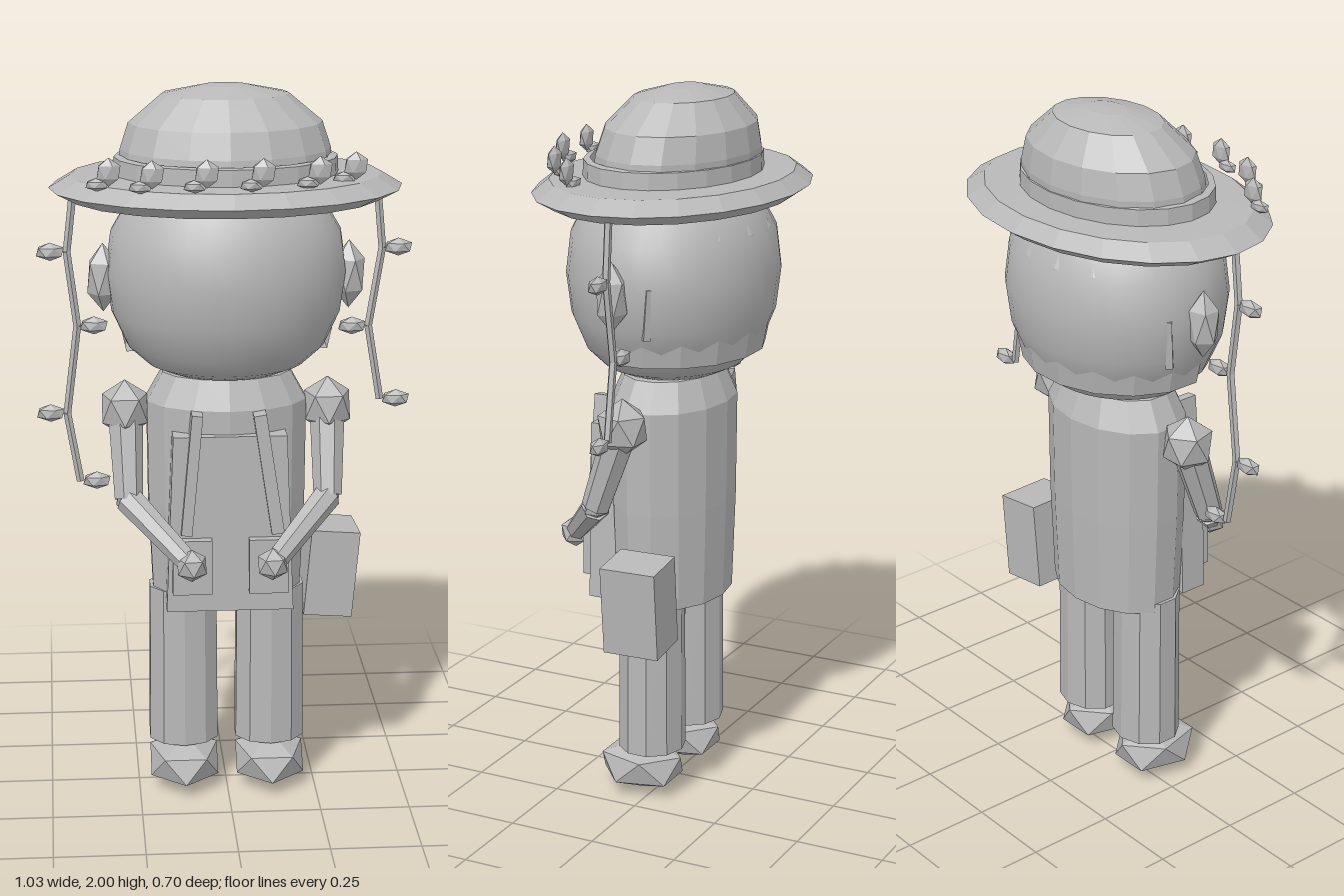
import * as THREE from 'three';

export function createModel() {
  const group = new THREE.Group();
  const clay = new THREE.MeshStandardMaterial({ color: 0xb8b8b8, flatShading: true, side: THREE.DoubleSide });
  clay.name = 'grey clay';
  // same colour, smooth normals for the face
  const smooth = clay.clone();
  smooth.flatShading = false;
  smooth.name = 'smooth grey clay';

  const add = (name, geo, mat = clay) => {
    const mesh = new THREE.Mesh(geo, mat);
    mesh.name = name;
    group.add(mesh);
    return mesh;
  };

  // elliptical lathe: profile of [radius, y], depth = z/x ratio
  const lathe = (name, profile, depth, segs, mat = clay, start = 0, length = Math.PI * 2) => {
    const pts = profile.map(([r, y]) => new THREE.Vector2(r, y));
    return add(name, new THREE.LatheGeometry(pts, segs, start, length).scale(1, 1, depth), mat);
  };

  // pole-up icosahedron used for hands, feet, leaves and puffs
  const gem = (name, pos, size, turn = 0) => {
    const geo = new THREE.IcosahedronGeometry(1, 0).rotateZ(-0.5536).rotateY(turn).scale(...size);
    const mesh = add(name, geo);
    mesh.position.set(...pos);
    return mesh;
  };

  // tapered limb between two points
  const limb = (name, a, b, ra, rb, sides) => {
    const p = new THREE.Vector3(...a), q = new THREE.Vector3(...b);
    const dir = q.clone().sub(p);
    const mesh = add(name, new THREE.CylinderGeometry(rb, ra, dir.length(), sides));
    mesh.position.copy(p).add(q).multiplyScalar(0.5);
    mesh.quaternion.setFromUnitVectors(new THREE.Vector3(0, 1, 0), dir.normalize());
    return mesh;
  };

  const box = (name, size, pos, rotZ = 0) => {
    const mesh = add(name, new THREE.BoxGeometry(...size));
    mesh.position.set(...pos);
    mesh.rotation.z = rotZ;
    return mesh;
  };

  // hat
  lathe('hatBrim', [[0, 1.7], [0.42, 1.7], [0.478, 1.73], [0.42, 1.765], [0.2, 1.77]], 0.733, 20);
  lathe('hatBand', [[0.305, 1.755], [0.302, 1.812], [0.28, 1.815]], 0.745, 20);
  const crown = lathe('hatCrown',
    [[0.29, 1.76], [0.285, 1.83], [0.262, 1.9], [0.172, 1.975], [0.065, 1.997], [0, 2]], 0.73, 16);
  // the crown leans slightly backwards
  const cp = crown.geometry.attributes.position;
  for (let i = 0; i < cp.count; i++) cp.setZ(i, cp.getZ(i) - 0.008 - 0.1 * (cp.getY(i) - 1.76));

  // flowers along the front of the brim
  const flowers = [[-0.32, 0.195], [-0.21, 0.275], [-0.07, 0.307], [0.077, 0.3], [0.23, 0.24], [0.335, 0.145]];
  flowers.forEach(([x, z], i) => {
    const y = 1.822 - 0.016 * Math.abs(i - 2.5) / 2.5;
    gem('hatFlower', [x, y, z], [0.035, 0.038, 0.016]);
    gem('hatFlowerLeaf', [x - 0.03, y - 0.033, z - 0.004], [0.034, 0.018, 0.016]);
  });

  // hanging vines with leaves
  const vine = (points, z, firstSide) => {
    for (let i = 0; i < points.length - 1; i++) {
      limb('vine', [...points[i], z], [...points[i + 1], z], 0.011, 0.011, 5);
    }
    points.slice(1).forEach(([x, y], i) => {
      const side = i % 2 ? -firstSide : firstSide;
      gem('vineLeaf', [x + side * 0.045, y, z], [0.042, 0.025, 0.022]);
    });
  };
  vine([[-0.415, 1.71], [-0.432, 1.565], [-0.407, 1.36], [-0.438, 1.115], [-0.405, 0.92]], 0.05, -1);
  vine([[0.415, 1.71], [0.43, 1.55], [0.395, 1.33], [0.43, 1.12]], -0.02, 1);

  // head
  lathe('face', [[0, 1.22], [0.16, 1.222], [0.215, 1.245], [0.27, 1.295], [0.313, 1.39], [0.328, 1.5],
    [0.313, 1.61], [0.26, 1.7], [0.18, 1.75]], 0.865, 32, smooth);
  lathe('hair', [[0.2, 1.285], [0.28, 1.285], [0.318, 1.46], [0.303, 1.625], [0.25, 1.71]],
    0.873, 9, clay, Math.PI / 2 - 0.2, Math.PI + 0.4);
  for (const s of [-1, 1]) {
    gem('ear', [s * 0.335, 1.485, 0.015], [0.048, 0.095, 0.045]);
    limb('hairLock', [s * 0.295, 1.37, -0.065], [s * 0.308, 1.51, -0.08], 0.014, 0.011, 4);
  }

  // torso
  lathe('torso', [[0, 0.575], [0.21, 0.575], [0.222, 0.85], [0.225, 1.14], [0.18, 1.22], [0, 1.225]], 0.72, 14);

  // apron with straps and pockets
  const bib = new THREE.Shape([[-0.175, 0.575], [0.175, 0.575], [0.155, 1.075], [-0.155, 1.075]]
    .map(([x, y]) => new THREE.Vector2(x, y)));
  add('apron', new THREE.ExtrudeGeometry(bib, { depth: 0.08, bevelEnabled: false })).position.z = 0.098;
  box('leftStrap', [0.035, 0.34, 0.06], [0.105, 0.97, 0.168], 0.15);
  box('rightStrap', [0.03, 0.34, 0.06], [-0.105, 0.97, 0.168], -0.09);
  for (const s of [-1, 1]) box('pocket', [0.108, 0.155, 0.03], [s * 0.105, 0.71, 0.19]);

  // arms, legs and feet
  for (const s of [-1, 1]) {
    const shoulder = [s * 0.28, 1.115, 0.015], elbow = [s * 0.275, 0.88, 0.1], hand = [s * 0.11, 0.735, 0.255];
    gem('shoulder', shoulder, [0.073, 0.082, 0.075], 0.3);
    limb('upperArm', shoulder, elbow, 0.05, 0.04, 7);
    limb('forearm', elbow, hand, 0.04, 0.03, 7);
    gem('elbow', elbow, [0.038, 0.038, 0.038]);
    gem('hand', hand, [0.046, 0.046, 0.046], 0.4);

    const legX = s * 0.122;
    const leg = limb('leg', [legX, 0.14, 0.008], [legX, 0.6, 0.008], 0.101, 0.098, 10);
    leg.scale.z = 0.92;
    gem('foot', [legX, 0.077, 0.04], [0.112, 0.077, 0.135], Math.PI / 2);
  }

  // satchel at the left hip
  box('satchel', [0.138, 0.25, 0.16], [0.293, 0.625, -0.04], -0.09).rotation.y = 0.05;

  return group;
}
